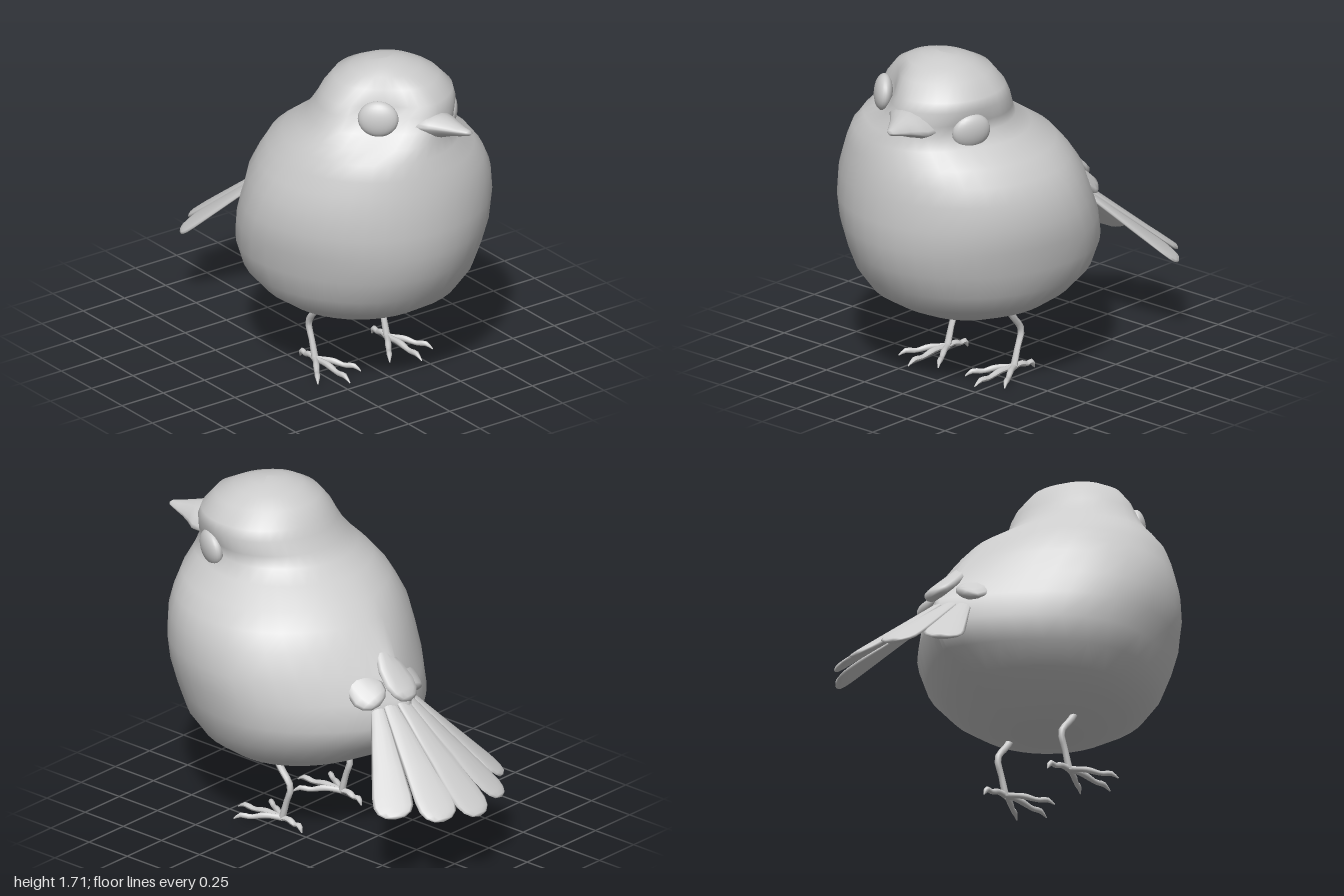
import * as THREE from 'three';
import { mergeVertices } from 'three/addons/utils/BufferGeometryUtils.js';

const V = (x, y, z) => new THREE.Vector3(x, y, z);
const grey = new THREE.MeshStandardMaterial({ color: 0xcccccc, side: THREE.DoubleSide });

function addMesh(parent, name, geometry) {
  const mesh = new THREE.Mesh(geometry, grey);
  mesh.name = name;
  parent.add(mesh);
  return mesh;
}

// Skin over a list of closed rings, each with the same number of points
function loft(rings) {
  const n = rings[0].length, index = [];
  for (let i = 0; i < rings.length - 1; i++) {
    for (let j = 0; j < n; j++) {
      const a = i * n + j, b = i * n + (j + 1) % n;
      index.push(a, a + n, b, b, a + n, b + n);
    }
  }
  let g = new THREE.BufferGeometry().setFromPoints(rings.flat());
  g.setIndex(index);
  g = mergeVertices(g, 1e-5);
  g.computeVertexNormals();
  return g;
}

const ringOf = (n, f) => Array.from({ length: n }, (_, j) => f(j / n * Math.PI * 2));

// Tube along points whose radius runs through a list of values
function taperedTube(points, radii) {
  const steps = 12, sides = 8;
  const curve = new THREE.CatmullRomCurve3(points, false, 'centripetal');
  const g = new THREE.TubeGeometry(curve, steps, 1, sides);
  const pos = g.attributes.position, p = V();
  for (let i = 0; i < pos.count; i++) {
    const t = Math.floor(i / (sides + 1)) / steps, c = curve.getPointAt(t);
    const s = t * (radii.length - 1), k = Math.min(Math.floor(s), radii.length - 2);
    const r = THREE.MathUtils.lerp(radii[k], radii[k + 1], s - k);
    p.fromBufferAttribute(pos, i).sub(c).multiplyScalar(r).add(c);
    pos.setXYZ(i, p.x, p.y, p.z);
  }
  g.computeVertexNormals();
  return g;
}

// Flat blade from root to tip; profile holds [position along, half-width]
function feather(root, tip, up, profile, thickness) {
  const d = tip.clone().sub(root), dir = d.clone().normalize();
  const across = dir.clone().cross(up).normalize();
  const normal = across.clone().cross(dir);
  return loft(profile.map(([t, w]) => ringOf(12, (a) => root.clone().addScaledVector(d, t)
    .addScaledVector(across, w * Math.cos(a))
    .addScaledVector(normal, Math.min(thickness, w) * Math.sin(a)))));
}

// Body and head levels: y, right edge, left edge, front z, back z
const LEVELS = [
  [0.31, 0, 0, 0.25, 0.25], [0.335, -0.17, 0.17, 0.43, 0.07],
  [0.36, -0.26, 0.26, 0.53, -0.03], [0.41, -0.39, 0.39, 0.64, -0.14],
  [0.48, -0.49, 0.49, 0.755, -0.28], [0.58, -0.57, 0.57, 0.83, -0.425],
  [0.7, -0.605, 0.605, 0.885, -0.51], [0.83, -0.63, 0.63, 0.92, -0.48],
  [0.95, -0.635, 0.635, 0.925, -0.4], [1.08, -0.61, 0.61, 0.92, -0.315],
  [1.17, -0.57, 0.56, 0.905, -0.235], [1.25, -0.53, 0.49, 0.89, -0.16],
  [1.33, -0.48, 0.385, 0.865, -0.04], [1.39, -0.43, 0.33, 0.845, 0.05],
  [1.45, -0.385, 0.34, 0.825, 0.1], [1.52, -0.35, 0.345, 0.81, 0.14],
  [1.57, -0.325, 0.325, 0.79, 0.165], [1.645, -0.26, 0.25, 0.73, 0.22],
  [1.69, -0.18, 0.17, 0.64, 0.31], [1.715, -0.1, 0.09, 0.56, 0.39],
  [1.725, 0, 0, 0.48, 0.48],
];

// Eyes sit on a head turned and tilted toward +x
const EYES = [
  { name: 'rightEye', at: V(-0.195, 1.52, 0.675), facing: V(-0.66, 0.12, 0.74), dent: 0.07 },
  { name: 'leftEye', at: V(0.295, 1.41, 0.58), facing: V(0.9, -0.12, 0.42), dent: 0.035 },
];

function bodyGeometry() {
  const rings = LEVELS.map(([y, x0, x1, zf, zb]) => ringOf(40, (a) => {
    const c = Math.cos(a), s = Math.sin(a);
    const taper = Math.exp(-(((y - 0.8) / 0.32) ** 2));
    const head = THREE.MathUtils.smoothstep(y, 1.3, 1.5) * (1 - THREE.MathUtils.smoothstep(y, 1.6, 1.72));
    // Rear narrows toward the tail, head front narrows toward the beak
    const power = 1 + (s < 0 ? taper : 0.3 * head);
    let x = (x0 + x1) / 2 + (x1 - x0) / 2 * Math.sign(c) * Math.abs(c) ** power;
    x += s < 0 ? -0.04 * taper * s : 0.05 * head * s;
    const p = V(x, y, (zf + zb) / 2 + (zf - zb) / 2 * s);
    // Shallow eye sockets
    for (const e of EYES) {
      const q = p.distanceTo(e.at) / 0.14;
      p.addScaledVector(e.facing, -e.dent * Math.exp(-q * q));
    }
    return p;
  }));
  return loft(rings);
}

function beakGeometry() {
  // z, half-width, height above and below the centre line
  const sections = [[0.68, 0.13, 0.07, 0.055], [0.79, 0.13, 0.07, 0.058], [0.83, 0.1, 0.062, 0.05],
    [0.88, 0.07, 0.045, 0.035], [0.94, 0.042, 0.025, 0.024], [0.985, 0.02, 0.013, 0.014], [1, 0, 0, 0]];
  return loft(sections.map(([z, w, top, bottom]) => {
    const t = Math.max(0, (z - 0.78) / 0.22);
    return ringOf(16, (a) => {
      const u = w * Math.cos(a), s = -Math.sin(a);
      const v = (s > 0 ? top : bottom) * s * Math.sqrt(Math.abs(s));
      return V(0.075 + 0.057 * t + u + 0.21 * v, 1.45 + 0.022 * t + v - 0.22 * u, z);
    });
  }));
}

function makeTail() {
  const tail = new THREE.Group();
  tail.name = 'tail';
  const blade = [[0, 0], [0.01, 0.025], [0.3, 0.05], [0.6, 0.078], [0.82, 0.098],
    [0.9, 0.098], [0.95, 0.083], [0.985, 0.05], [1, 0]];
  const tips = [V(-0.3, 0.41, -0.8), V(-0.12, 0.395, -0.95), V(0.085, 0.375, -0.995),
    V(0.28, 0.39, -0.93), V(0.45, 0.41, -0.765)];
  tips.forEach((tip, i) => {
    const side = i - 2, k = Math.abs(side);
    const root = V(0.045 + 0.04 * side, 0.9 - 0.025 * k, -0.34);
    addMesh(tail, 'tailFeather' + (i + 1), feather(root, tip, V(0.28 * side, 0.75, -0.6), blade, 0.014));
  });
  // Short feathers covering the tail root
  const lobe = [[0, 0], [0.15, 0.035], [0.45, 0.08], [0.7, 0.095], [0.85, 0.08], [0.95, 0.05], [1, 0]];
  const covers = [[V(0.04, 1.08, -0.25), V(0.055, 0.835, -0.51), V(0, 0.7, -0.7)],
    [V(-0.13, 0.98, -0.2), V(-0.08, 0.83, -0.43), V(-0.5, 0.7, -0.6)],
    [V(0.22, 0.98, -0.2), V(0.19, 0.83, -0.43), V(0.5, 0.7, -0.6)]];
  covers.forEach(([a, b, up], i) => addMesh(tail, 'tailCover' + (i + 1), feather(a, b, up, lobe, 0.03)));
  return tail;
}

function makeLeg(name, x) {
  const leg = new THREE.Group();
  leg.name = name;
  leg.position.x = x;
  addMesh(leg, 'shank', taperedTube([V(0, 0.42, 0.25), V(0, 0.33, 0.2), V(0, 0.235, 0.13),
    V(0, 0.15, 0.155), V(0, 0.05, 0.185)], [0.02, 0.018, 0.017, 0.015, 0.018]));
  // Three toes forward and one back, each ending in a claw
  const toes = [[0, 0.47], [-0.135, 0.39], [0.125, 0.39], [0.01, 0.045]];
  toes.forEach(([tx, tz], i) => {
    const at = (t, y) => V(tx * t, y, 0.185 + (tz - 0.185) * t);
    const drop = i === 3 ? 0.018 : 0.03;
    addMesh(leg, 'toe' + (i + 1), taperedTube([at(0, 0.055), at(0.35, 0.06), at(0.65, 0.047),
      at(0.85, 0.052), at(1, drop)], [0.017, 0.014, 0.016, 0.012, 0.015, 0.003]));
  });
  return leg;
}

export function createModel() {
  const bird = new THREE.Group();
  bird.name = 'bird';
  addMesh(bird, 'body', bodyGeometry());
  addMesh(bird, 'beak', beakGeometry());
  for (const e of EYES) {
    const eye = addMesh(bird, e.name, new THREE.SphereGeometry(1, 24, 16));
    eye.scale.set(0.1, 0.09, 0.045);
    eye.position.copy(e.at);
    eye.lookAt(e.at.clone().add(e.facing));
  }
  bird.add(makeTail(), makeLeg('rightLeg', -0.215), makeLeg('leftLeg', 0.22));
  return bird;
}
